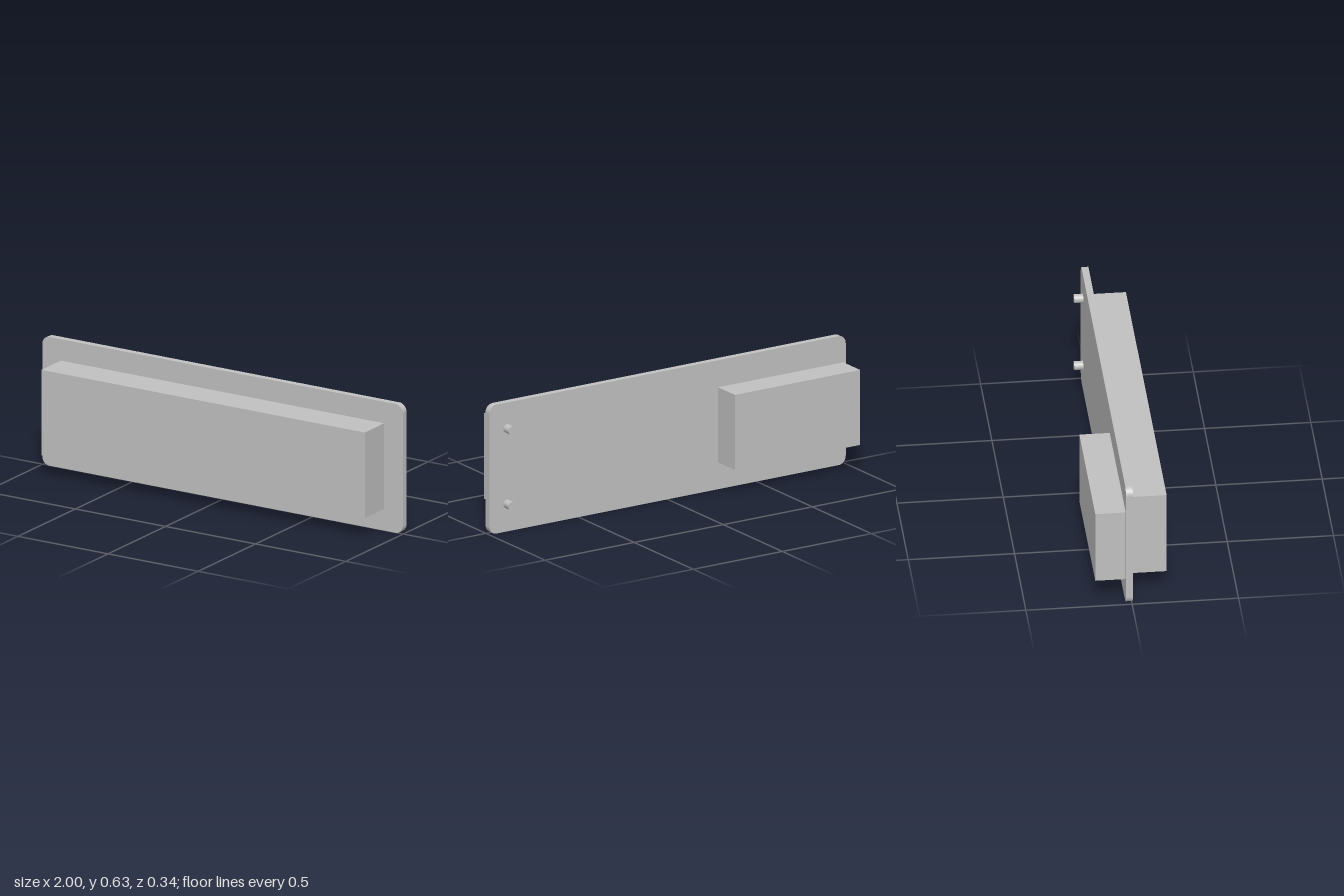
import * as THREE from 'three';

export function createModel() {
  const group = new THREE.Group();
  const grey = new THREE.MeshStandardMaterial({ color: 0xc0c0c0 });
  grey.name = 'light grey';

  const add = (name, geometry, x, y, z) => {
    const mesh = new THREE.Mesh(geometry, grey);
    mesh.name = name;
    mesh.position.set(x, y, z);
    group.add(mesh);
    return mesh;
  };
  // Box given by its lower and upper limits on each axis
  const addBox = (name, [x0, x1], [y0, y1], [z0, z1]) =>
    add(name, new THREE.BoxGeometry(x1 - x0, y1 - y0, z1 - z0),
      (x0 + x1) / 2, (y0 + y1) / 2, (z0 + z1) / 2);

  // Thin board with rounded corners
  const w = 1, h = 0.632, r = 0.04, front = 0.004, back = -0.029;
  const outline = new THREE.Shape();
  outline.moveTo(-w + r, 0);
  outline.lineTo(w - r, 0);
  outline.absarc(w - r, r, r, -Math.PI / 2, 0);
  outline.lineTo(w, h - r);
  outline.absarc(w - r, h - r, r, 0, Math.PI / 2);
  outline.lineTo(-w + r, h);
  outline.absarc(-w + r, h - r, r, Math.PI / 2, Math.PI);
  outline.lineTo(-w, r);
  outline.absarc(-w + r, r, r, Math.PI, Math.PI * 1.5);
  add('board', new THREE.ExtrudeGeometry(outline,
    { depth: front - back, bevelEnabled: false, curveSegments: 12 }), 0, 0, back);

  // Long block on the front, shorter block on the back
  addBox('frontBlock', [-0.897, 0.897], [0.107, 0.527], [front, 0.173]);
  addBox('backBlock', [-0.986, -0.283], [0.132, 0.5], [-0.172, back]);

  // Two round pins on the back
  const pinEnd = -0.072;
  for (const [name, y] of [['lowerPin', 0.135], ['upperPin', 0.505]]) {
    const pin = add(name, new THREE.CylinderGeometry(0.021, 0.021, back - pinEnd, 32),
      0.9, y, (back + pinEnd) / 2);
    pin.rotation.x = Math.PI / 2;
  }
  return group;
}
